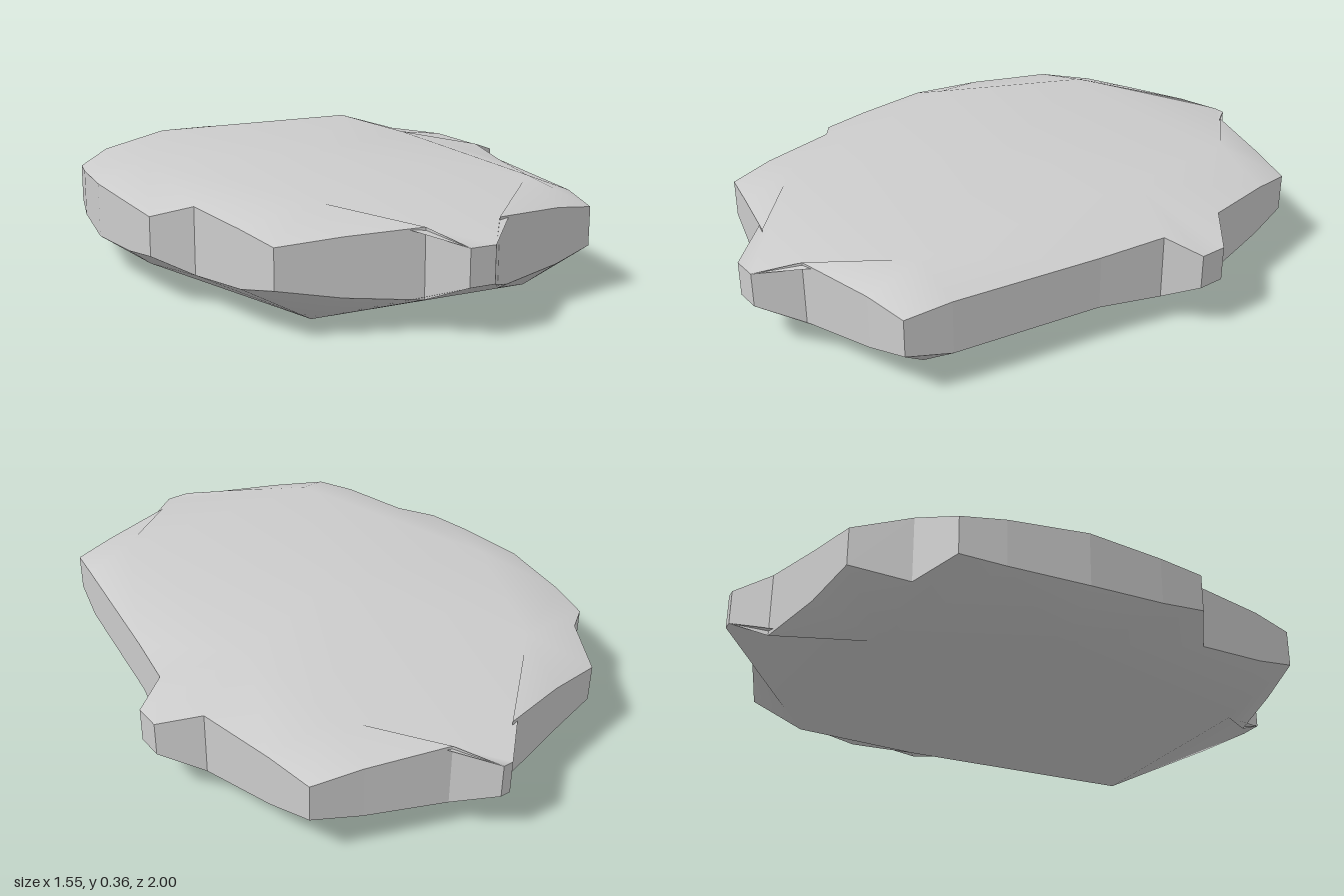
import * as THREE from 'three';
import { mergeGeometries } from 'three/addons/utils/BufferGeometryUtils.js';

// Rim heights [bottom, top]: 0 tab tip, 1 tab root, 2 edge middle, 3 corner, 4 long side
const LEVELS = [[0.155, 0.27], [0.095, 0.31], [0.117, 0.295], [0.15, 0.275], [0.13, 0.285]];

// Rim, counter-clockwise from above: x, z, rim level, nearest plateau corner
const RIM = [
  [0.015, 1, 0, 1], [0.11, 0.875, 1, 1], [0.37, 0.81, 2, 1], [0.515, 0.78, 3, 1],
  [0.545, 0.63, 2, 1], [0.62, 0.13, 2, 2], [0.665, -0.09, 1, 2], [0.775, -0.155, 0, 2],
  [0.775, -0.245, 0, 2], [0.655, -0.34, 1, 2], [0.595, -0.6, 2, 3], [0.56, -0.755, 3, 3],
  [0.4, -0.8, 2, 3], [0.14, -0.88, 1, 3], [0.045, -1, 0, 3], [0.01, -1, 0, 4],
  [-0.08, -0.895, 1, 4], [-0.32, -0.835, 2, 4], [-0.515, -0.8, 3, 4], [-0.6, -0.63, 1, 4],
  [-0.72, -0.54, 3, 4], [-0.75, -0.4, 4, 5], [-0.78, -0.14, 2, 5], [-0.765, 0.12, 4, 5],
  [-0.75, 0.28, 3, 5], [-0.635, 0.355, 1, 0], [-0.595, 0.61, 2, 0], [-0.56, 0.765, 3, 0],
  [-0.37, 0.815, 2, 0], [-0.14, 0.875, 1, 0], [-0.07, 1, 0, 0],
];

// Corners of the flat middle of each face
const PLATEAU = [[-0.38, 0.63], [0.38, 0.63], [0.41, -0.2], [0.38, -0.63], [-0.38, -0.63], [-0.61, -0.14]];
const HEIGHT = 0.36;

function makeGeometry(positions, index) {
  const g = new THREE.BufferGeometry();
  g.setAttribute('position', new THREE.Float32BufferAttribute(positions, 3));
  g.setIndex(index);
  g.computeVertexNormals();
  return g;
}

// Smooth face: flat plateau sloping down to the rim
function capGeometry(top) {
  const n = RIM.length, m = PLATEAU.length, y = top ? HEIGHT : 0;
  const positions = [], index = [];
  RIM.forEach(([x, z, level]) => positions.push(x, LEVELS[level][top ? 1 : 0], z));
  PLATEAU.forEach(([x, z]) => positions.push(x, y, z));
  positions.push(-0.05, y, 0);
  const tri = (a, b, c) => (top ? index.push(a, b, c) : index.push(a, c, b));
  for (let i = 0; i < n; i++) {
    const j = (i + 1) % n, a = n + RIM[i][3], b = n + RIM[j][3];
    tri(a, i, j);
    if (a !== b) tri(a, j, b);
  }
  for (let k = 0; k < m; k++) tri(n + m, n + k, n + (k + 1) % m);
  return makeGeometry(positions, index);
}

// Upright flat wall panel between two neighbouring rim points
function wallPanel(p, q) {
  const [pb, pt] = LEVELS[p[2]], [qb, qt] = LEVELS[q[2]];
  return makeGeometry(
    [p[0], pb, p[1], q[0], qb, q[1], q[0], qt, q[1], p[0], pt, p[1]],
    [0, 1, 2, 0, 2, 3]);
}

export function createModel() {
  const group = new THREE.Group();
  group.name = 'notchedSlab';
  const material = new THREE.MeshStandardMaterial({ color: 0xcccccc });
  const walls = mergeGeometries(RIM.map((p, i) => wallPanel(p, RIM[(i + 1) % RIM.length])));
  const parts = { topFace: capGeometry(true), bottomFace: capGeometry(false), rimWall: walls };
  for (const [name, geometry] of Object.entries(parts)) {
    const mesh = new THREE.Mesh(geometry, material);
    mesh.name = name;
    group.add(mesh);
  }
  return group;
}
